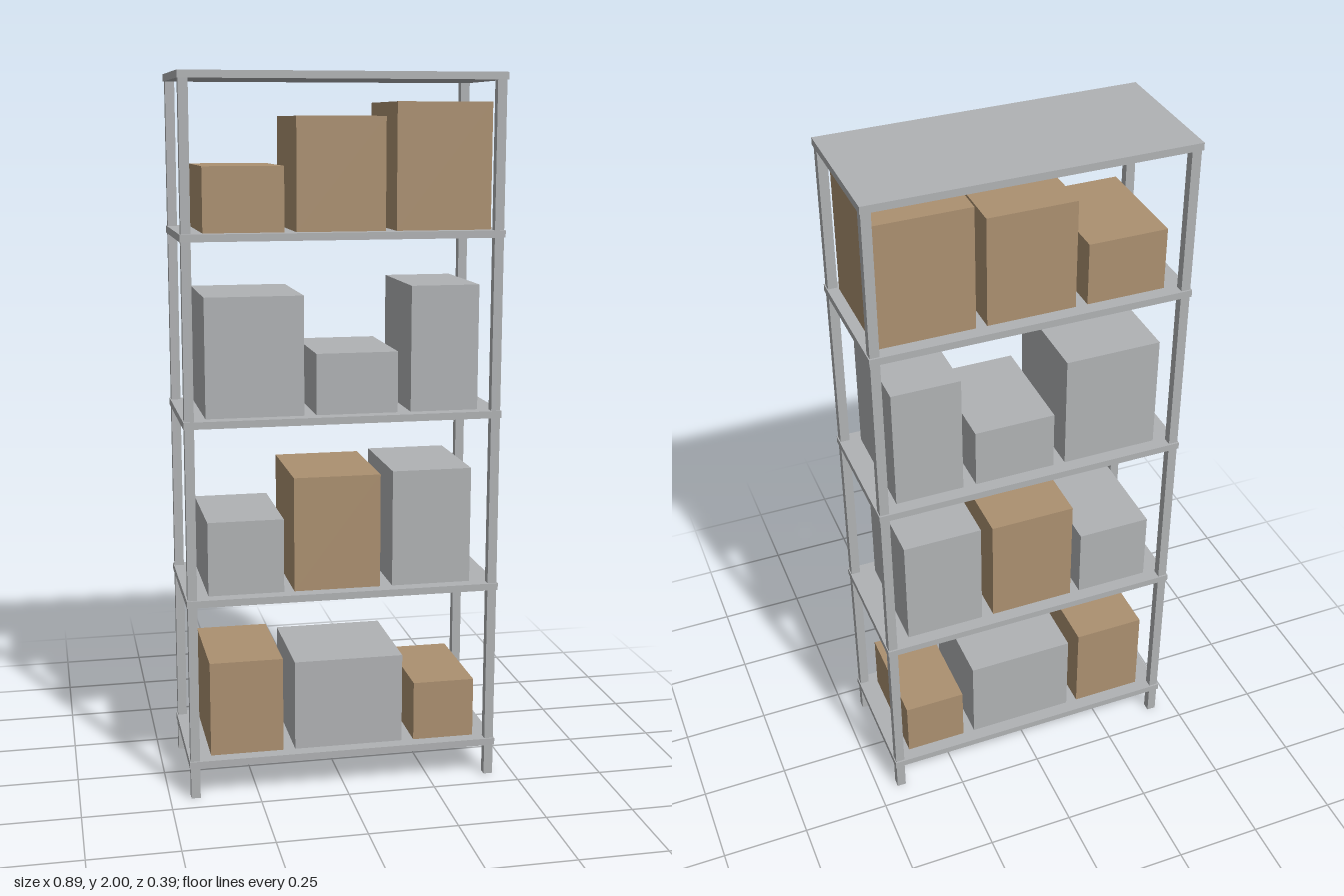
import * as THREE from 'three';

export function createModel() {
  const steel = new THREE.MeshStandardMaterial({ color: 0xb0b2b4 });
  steel.name = 'grey steel';
  const card = new THREE.MeshStandardMaterial({ color: 0xab9070 });
  card.name = 'cardboard tan';

  const model = new THREE.Group();
  model.name = 'storageRack';

  // Box given by its limits on each axis
  const addBox = (name, material, [x0, x1], [y0, y1], [z0, z1]) => {
    const mesh = new THREE.Mesh(new THREE.BoxGeometry(x1 - x0, y1 - y0, z1 - z0), material);
    mesh.position.set((x0 + x1) / 2, (y0 + y1) / 2, (z0 + z1) / 2);
    mesh.name = name;
    model.add(mesh);
  };

  // Four corner posts
  for (const sx of [-1, 1]) {
    for (const sz of [-1, 1]) {
      const x = [0.415 * sx, 0.441 * sx].sort((a, b) => a - b);
      const z = [0.165 * sz, 0.19 * sz].sort((a, b) => a - b);
      addBox(`${sz > 0 ? 'front' : 'back'}${sx > 0 ? 'Left' : 'Right'}Post`, steel, x, [0, 1.985], z);
    }
  }

  // Shelf boards, listed by the height of their top face
  const levels = [0.11, 0.58, 1.08, 1.58, 2];
  levels.forEach((top, i) => {
    addBox(i === 4 ? 'topBoard' : `shelf${i + 1}`, steel, [-0.444, 0.444], [top - 0.02, top], [-0.195, 0.195]);
  });

  // Stored boxes per shelf: x from, x to, top height, material
  const rows = [
    [[-0.38, -0.172, 0.383, card], [-0.138, 0.175, 0.37, steel], [0.21, 0.388, 0.282, card]],
    [[-0.38, -0.167, 0.79, steel], [-0.138, 0.108, 0.905, card], [0.143, 0.37, 0.912, steel]],
    [[-0.38, -0.108, 1.41, steel], [-0.074, 0.155, 1.25, steel], [0.192, 0.384, 1.43, steel]],
    [[-0.38, -0.16, 1.755, card], [-0.127, 0.118, 1.885, card], [0.148, 0.413, 1.923, card]],
  ];
  rows.forEach((row, i) => row.forEach(([x0, x1, top, material], j) => {
    addBox(`storedBox${i + 1}_${j + 1}`, material, [x0, x1], [levels[i], top], [-0.157, 0.157]);
  }));

  return model;
}
